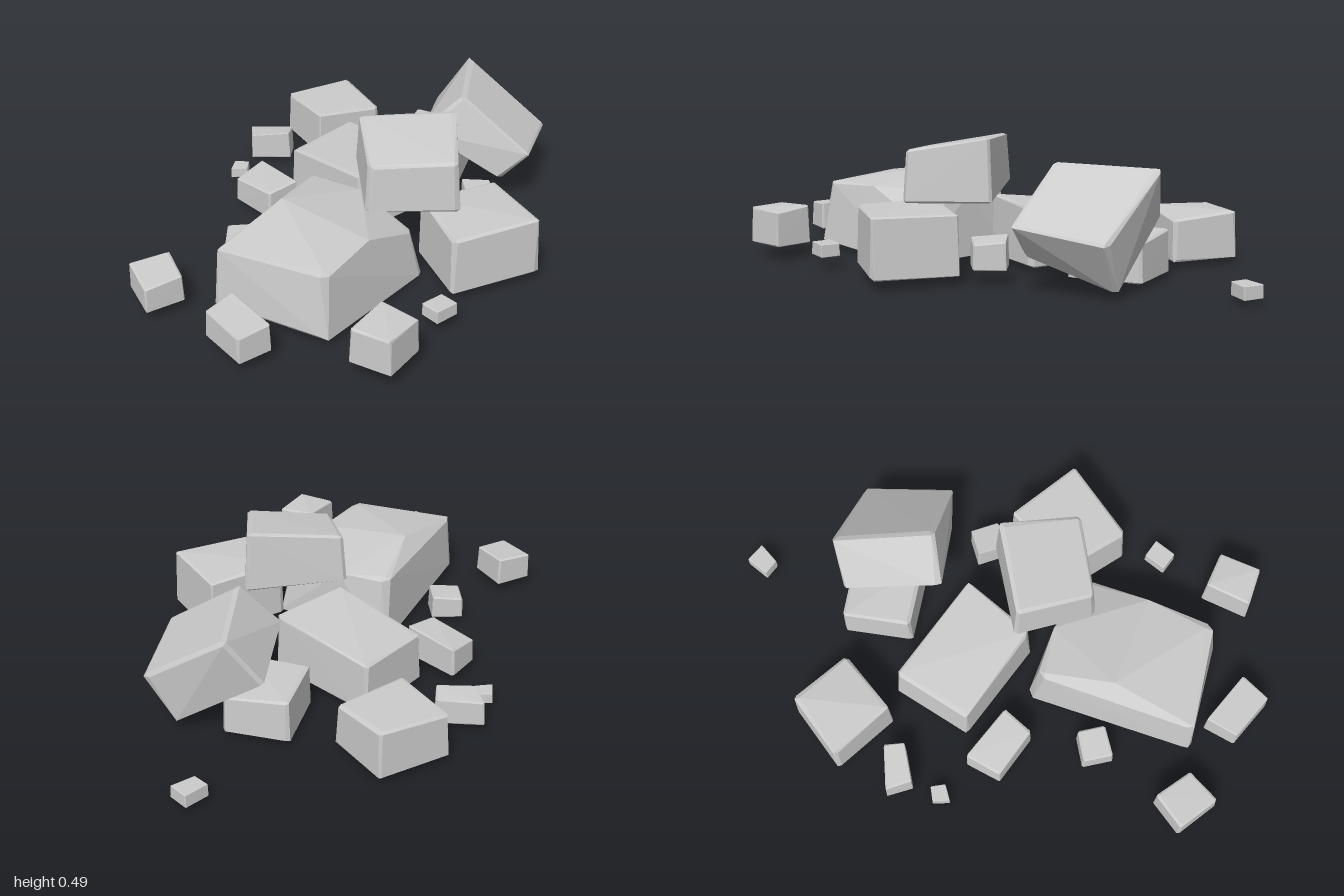
import * as THREE from 'three';
import { ConvexGeometry } from 'three/addons/geometries/ConvexGeometry.js';

const stone = new THREE.MeshStandardMaterial({ color: 0xcccccc, flatShading: true });

// Small seeded generator for uneven chipped edges
let seed = 7;
const rand = () => (seed = (seed * 16807) % 2147483647) / 2147483647;

// Corners 0-3 run round the bottom, 4-7 round the top
const FACES = [
  [0, 1, 2, 3], [4, 5, 6, 7],
  [0, 1, 5, 4], [1, 2, 6, 5], [2, 3, 7, 6], [3, 0, 4, 7],
];

// Hull of the six faces, each pulled in a little, so edges and corners are chipped
function chippedBlock(name, corners, extra = []) {
  const c = corners.map((p) => new THREE.Vector3(...p));
  const points = extra.map((p) => new THREE.Vector3(...p));
  for (const face of FACES) {
    const mid = new THREE.Vector3();
    face.forEach((i) => mid.addScaledVector(c[i], 0.25));
    face.forEach((i) => points.push(c[i].clone().lerp(mid, 0.03 + 0.1 * rand())));
  }
  const mesh = new THREE.Mesh(new ConvexGeometry(points), stone);
  mesh.name = name;
  return mesh;
}

// Upright stone from a four-cornered outline, with a bottom and a top height per corner
function slab(name, outline, bottoms, tops, taper = 0.96) {
  const cx = outline.reduce((s, p) => s + p[0], 0) / 4;
  const cz = outline.reduce((s, p) => s + p[1], 0) / 4;
  const at = (list, i) => (Array.isArray(list) ? list[i] : list);
  const ring = (k, heights) => outline.map(([x, z], i) =>
    [cx + (x - cx) * k, at(heights, i), cz + (z - cz) * k]);
  return chippedBlock(name, [...ring(1.02, bottoms), ...ring(1.02 * taper, tops)]);
}

export function createModel() {
  const group = new THREE.Group();
  group.name = 'rockPile';

  // Largest boulder, with a ridge and a sloping front right shoulder
  group.add(chippedBlock('largeBoulder', [
    [-0.81, 0.05, 0.05], [-0.19, 0.0, -0.13], [-0.11, 0.0, 0.36], [-0.65, 0.03, 0.46],
    [-0.79, 0.27, 0.06], [-0.22, 0.27, -0.11], [-0.14, 0.19, 0.33], [-0.63, 0.27, 0.43],
  ], [[-0.47, 0.315, 0.02], [-0.54, 0.29, 0.19], [-0.16, 0.25, 0.08], [-0.38, 0.27, 0.37]]));

  // Boulder leaning on its edge at the right
  group.add(chippedBlock('leaningBoulder', [
    [0.26, 0.28, -0.05], [0.56, 0.24, -0.26], [0.71, 0.02, 0.04], [0.42, 0.12, 0.22],
    [0.37, 0.43, 0.06], [0.66, 0.42, -0.18], [0.77, 0.2, 0.13], [0.48, 0.24, 0.31],
  ]));

  // Boulder resting on top of the others
  group.add(slab('topBoulder',
    [[-0.07, -0.04], [0.2, 0.21], [-0.02, 0.44], [-0.25, 0.21]],
    [0.3, 0.27, 0.26, 0.25], [0.48, 0.5, 0.45, 0.43], 0.93));

  // Medium stones lying on the ground
  group.add(slab('frontBoulder',
    [[-0.06, 0.28], [0.24, 0.36], [0.16, 0.66], [-0.16, 0.55]],
    0.035, [0.265, 0.25, 0.255, 0.25]));
  group.add(slab('middleBoulder',
    [[-0.1, -0.38], [0.21, -0.4], [0.21, 0.05], [-0.1, 0.02]],
    0.02, [0.2, 0.21, 0.24, 0.25]));
  group.add(slab('backBoulder',
    [[0.2, -0.77], [0.46, -0.69], [0.41, -0.44], [0.15, -0.51]],
    0.025, [0.19, 0.2, 0.18, 0.2]));
  group.add(slab('supportingStone',
    [[0.29, -0.21], [0.52, -0.33], [0.63, -0.12], [0.4, 0.02]],
    0.02, [0.18, 0.18, 0.16, 0.18]));

  // Scattered small stones: outline, bottom, top
  const small = [
    [[[-0.31, -0.46], [-0.17, -0.48], [-0.18, -0.25], [-0.31, -0.26]], 0.03, [0.12, 0.14, 0.15, 0.14]],
    [[[-0.01, -0.75], [0.1, -0.62], [0.04, -0.57], [-0.07, -0.67]], 0.03, [0.12, 0.13, 0.14, 0.13]],
    [[[-0.16, -0.67], [-0.12, -0.63], [-0.16, -0.59], [-0.21, -0.63]], 0.01, 0.05],
    [[[0.9, -0.345], [0.995, -0.34], [0.99, -0.26], [0.9, -0.28]], 0.02, 0.067],
    [[[-0.525, -0.235], [-0.44, -0.155], [-0.51, -0.075], [-0.6, -0.15]], 0.03, [0.11, 0.12, 0.12, 0.11]],
    [[[-0.95, -0.235], [-0.81, -0.19], [-0.86, -0.04], [-1, -0.065]], 0.04, [0.14, 0.15, 0.14, 0.13]],
    [[[-0.925, 0.17], [-0.8, 0.155], [-0.815, 0.38], [-0.94, 0.365]], 0.04, [0.14, 0.15, 0.145, 0.135]],
    [[[-0.685, 0.61], [-0.51, 0.575], [-0.48, 0.72], [-0.64, 0.755]], 0.055, [0.19, 0.2, 0.185, 0.19]],
    [[[-0.33, 0.575], [-0.24, 0.58], [-0.24, 0.655], [-0.33, 0.65]], 0.05, 0.097],
    [[[0.26, 0.175], [0.345, 0.24], [0.285, 0.335], [0.185, 0.285]], 0.06, [0.17, 0.16, 0.15, 0.16]],
  ];
  small.forEach(([outline, bottom, top], i) =>
    group.add(slab(`smallStone${i + 1}`, outline, bottom, top)));

  return group;
}
